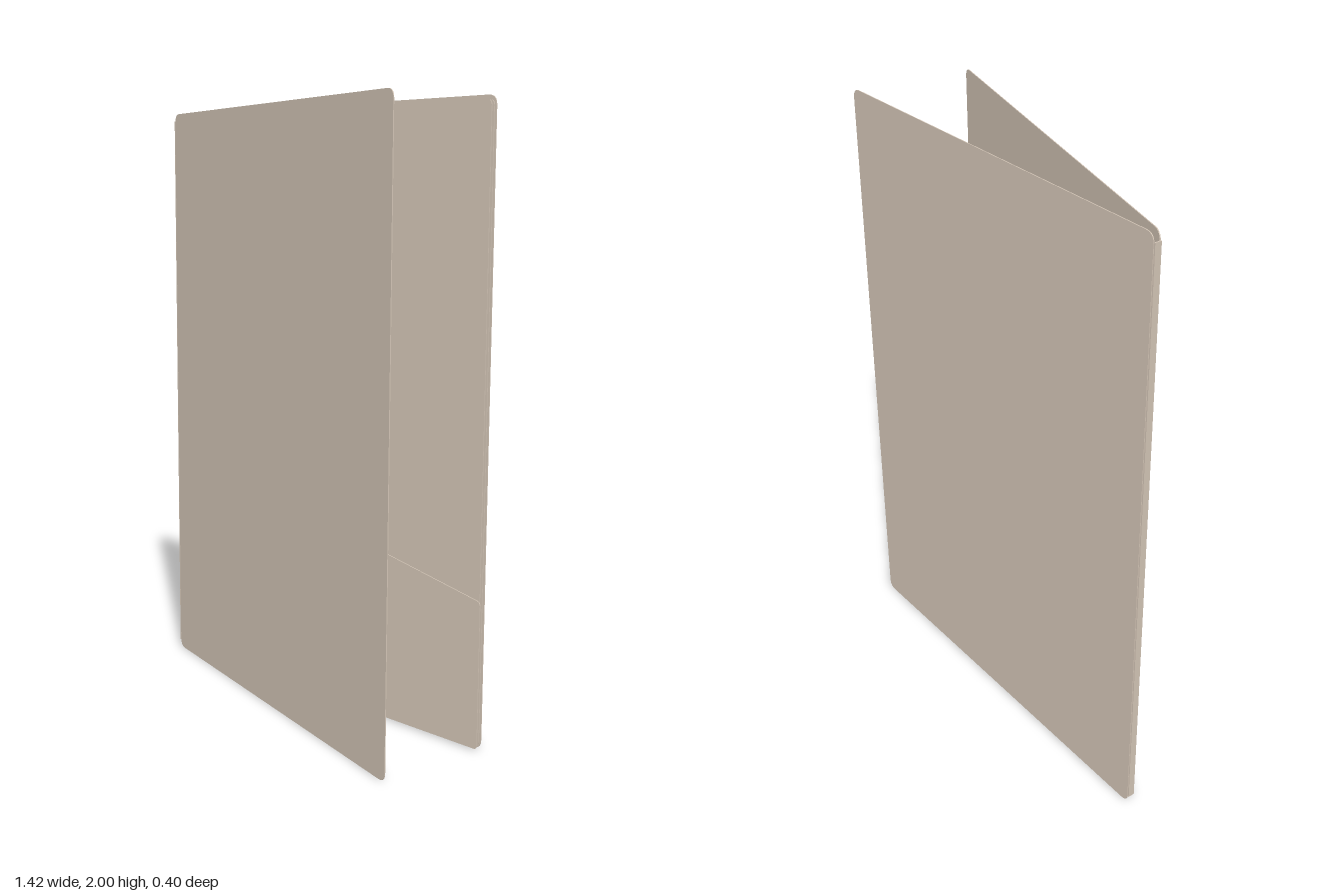
import * as THREE from 'three';

const card = new THREE.MeshStandardMaterial({ color: 0xd2c4b5 });
card.name = 'beige card';

// Upright card sheet from x = 0 to w, y0 to y1, with rounded corners; drop slopes the top edge down toward +x
function sheet(name, w, y0, y1, { r = 0.03, t = 0.003, drop = 0 } = {}) {
  const k = r * drop / w;
  const s = new THREE.Shape();
  s.moveTo(r, y0);
  s.lineTo(w - r, y0);
  s.quadraticCurveTo(w, y0, w, y0 + r);
  s.lineTo(w, y1 - drop - r);
  s.quadraticCurveTo(w, y1 - drop, w - r, y1 - drop + k);
  s.lineTo(r, y1 - k);
  s.quadraticCurveTo(0, y1, 0, y1 - r);
  s.lineTo(0, y0 + r);
  s.quadraticCurveTo(0, y0, r, y0);
  const geo = new THREE.ExtrudeGeometry(s, { depth: t, bevelEnabled: false, curveSegments: 5 });
  geo.translate(0, 0, -t / 2);
  const mesh = new THREE.Mesh(geo, card);
  mesh.name = name;
  return mesh;
}

export function createModel() {
  const folder = new THREE.Group();
  folder.name = 'folder';
  const left = -0.705;

  // Back cover
  const back = sheet('backCover', 1.415, 0, 2);
  back.position.set(left, 0, -0.201);
  folder.add(back);

  // Narrow spine joining the two covers
  const spine = new THREE.Mesh(new THREE.BoxGeometry(0.004, 1.95, 0.022), card);
  spine.name = 'spine';
  spine.position.set(left - 0.003, 1, -0.19);
  folder.add(spine);

  // Stacked inner sheets
  for (let i = 0; i < 3; i++) {
    const inset = i === 1 ? 0.012 : 0;
    const s = sheet('innerSheet', 1.36 - inset, 0.01, 1.985, { r: 0.015 });
    s.position.set(-0.655, 0, -0.196 + i * 0.006);
    folder.add(s);
  }

  // Pocket with a sloping mouth
  const pocket = sheet('pocket', 1.36, 0.005, 0.77, { r: 0.012, drop: 0.29 });
  pocket.position.set(-0.65, 0, -0.179);
  folder.add(pocket);

  // Front cover, swung open about the spine
  const front = sheet('frontCover', 1.42, 0, 2);
  front.position.set(left, 0, -0.18);
  front.rotation.y = -Math.atan2(0.38, 1.365);
  folder.add(front);

  return folder;
}
